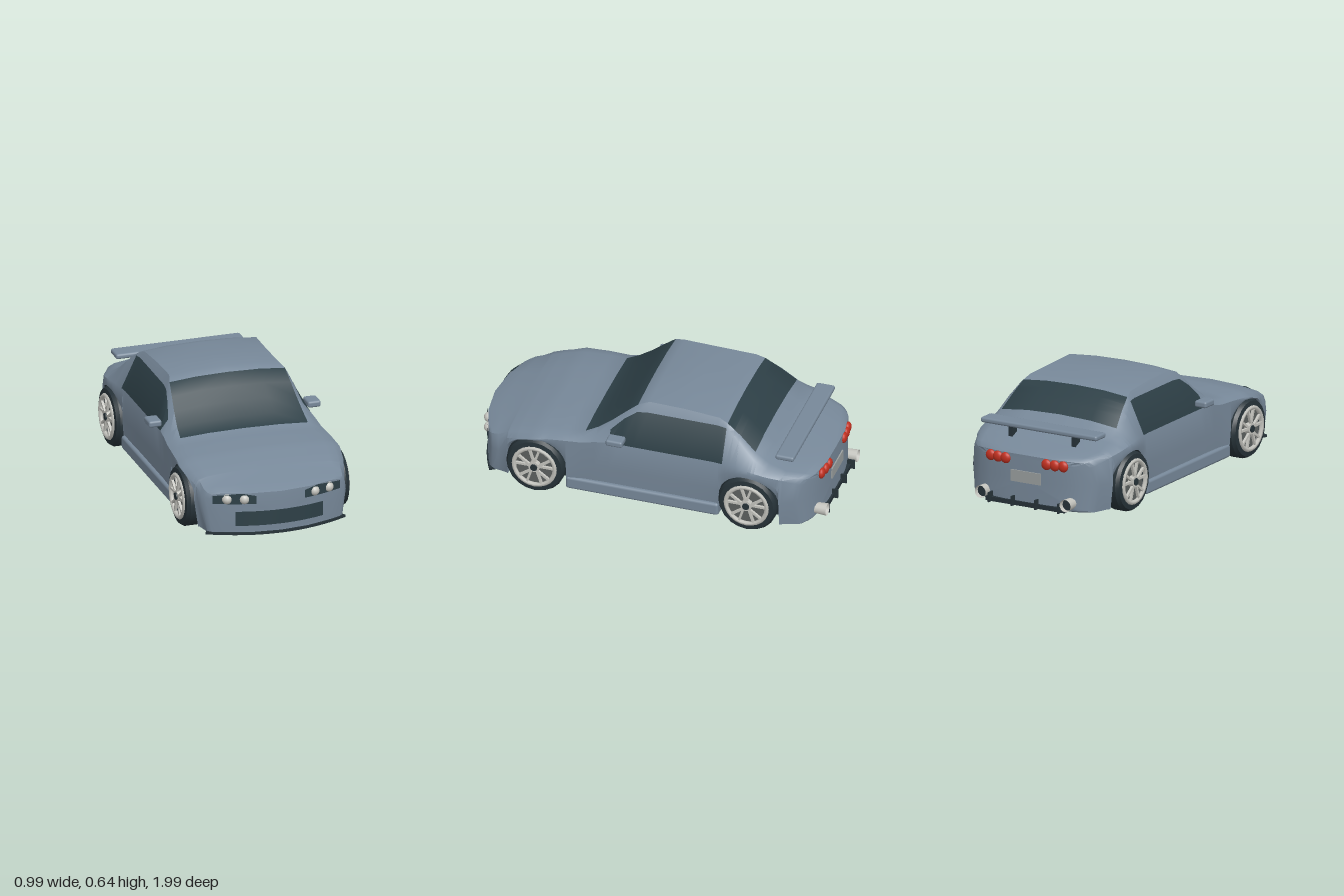
import * as THREE from 'three';
import { toCreasedNormals } from 'three/addons/utils/BufferGeometryUtils.js';
import { RoundedBoxGeometry } from 'three/addons/geometries/RoundedBoxGeometry.js';

const mat = (name, color, side = THREE.FrontSide) => {
  const m = new THREE.MeshStandardMaterial({ color, side });
  m.name = name;
  return m;
};
const clamp = THREE.MathUtils.clamp;

// Half cross-sections along the car:
// z, top y, roof edge x y, gutter x y, belt x y, mid x, low x
const KEYS = [
  [-0.955, 0.345, 0.31, 0.34, 0.36, 0.335, 0.385, 0.31, 0.395, 0.375],
  [-0.93, 0.36, 0.33, 0.352, 0.37, 0.345, 0.395, 0.32, 0.405, 0.385],
  [-0.80, 0.375, 0.36, 0.368, 0.40, 0.36, 0.42, 0.34, 0.43, 0.41],
  [-0.70, 0.42, 0.365, 0.405, 0.415, 0.39, 0.45, 0.365, 0.455, 0.45],
  [-0.62, 0.485, 0.365, 0.46, 0.40, 0.43, 0.455, 0.38, 0.46, 0.46],
  [-0.53, 0.56, 0.345, 0.535, 0.375, 0.51, 0.445, 0.39, 0.455, 0.45],
  [-0.45, 0.61, 0.33, 0.59, 0.35, 0.57, 0.435, 0.39, 0.44, 0.43],
  [-0.40, 0.622, 0.32, 0.61, 0.345, 0.575, 0.43, 0.39, 0.435, 0.42],
  [-0.20, 0.632, 0.312, 0.62, 0.345, 0.575, 0.43, 0.39, 0.43, 0.42],
  [0.00, 0.64, 0.312, 0.625, 0.345, 0.575, 0.43, 0.39, 0.43, 0.42],
  [0.06, 0.625, 0.33, 0.607, 0.35, 0.57, 0.43, 0.39, 0.43, 0.42],
  [0.13, 0.57, 0.34, 0.55, 0.365, 0.52, 0.43, 0.39, 0.43, 0.42],
  [0.20, 0.51, 0.35, 0.49, 0.385, 0.45, 0.43, 0.39, 0.43, 0.42],
  [0.28, 0.45, 0.36, 0.432, 0.40, 0.40, 0.435, 0.38, 0.435, 0.42],
  [0.35, 0.408, 0.365, 0.395, 0.41, 0.385, 0.44, 0.365, 0.44, 0.42],
];
// Bonnet and nose sections
KEYS.push(
  [0.48, 0.40, 0.37, 0.388, 0.42, 0.375, 0.45, 0.36, 0.45, 0.44],
  [0.61, 0.39, 0.37, 0.378, 0.42, 0.367, 0.455, 0.35, 0.46, 0.46],
  [0.72, 0.365, 0.36, 0.352, 0.41, 0.34, 0.44, 0.318, 0.445, 0.435],
  [0.80, 0.342, 0.35, 0.328, 0.40, 0.315, 0.42, 0.288, 0.425, 0.40],
  [0.90, 0.31, 0.34, 0.303, 0.395, 0.29, 0.41, 0.265, 0.42, 0.39],
  [0.97, 0.29, 0.335, 0.29, 0.385, 0.28, 0.40, 0.255, 0.41, 0.385],
);
const WHEEL_Z = [0.61, -0.6], WHEEL_Y = 0.17, ARCH = 0.172, FLOOR = 0.05;

// Rounds the nose and tail in plan
function bowZ(x, z) {
  if (z > 0) return z - 0.11 * clamp((z - 0.78) / 0.2, 0, 1) * (x / 0.41) ** 2;
  return z + 0.1 * clamp((-z - 0.78) / 0.185, 0, 1) * (x / 0.4) ** 4;
}

const inArch = (z) => WHEEL_Z.some((c) => Math.abs(z - c) < ARCH);

function section(z) {
  let k = 0;
  while (k < KEYS.length - 2 && KEYS[k + 1][0] < z) k++;
  const a = KEYS[k], b = KEYS[k + 1], t = clamp((z - a[0]) / (b[0] - a[0]), 0, 1);
  const [, top, ex, ey, gx, gy, bx, by, mx, lx] = a.map((v, i) => v + (b[i] - v) * t);
  let low = FLOOR;
  for (const c of WHEEL_Z) {
    const d = Math.abs(z - c);
    if (d < ARCH) low = WHEEL_Y + Math.sqrt(ARCH * ARCH - d * d);
  }
  low = Math.min(low, by - 0.012);
  return [[0, FLOOR], [0.17, FLOOR], [0.33, FLOOR], [0.33, low], [lx, low],
    [mx, Math.max(low + (by - low) * 0.5, 0.2)], [bx, by], [gx, gy], [ex, ey],
    [ex * 0.55, top - (top - ey) * 0.25], [0, top]];
}

// One lofted shell; windows and wheel wells are face groups
function bodyGeometry() {
  const zs = KEYS.map((k) => k[0]);
  for (const c of WHEEL_Z) {
    for (let i = 0; i <= 14; i++) zs.push(c + Math.cos((i * Math.PI) / 14) * (ARCH - 0.0005));
    zs.push(c - ARCH - 0.0005, c + ARCH + 0.0005);
  }
  zs.sort((a, b) => a - b);
  const rows = zs.map((z) => ({ z, p: section(z) }));
  const cap = (row, z, cy, s) => ({ z, p: row.p.map(([x, y]) => [x * s, cy + (y - cy) * s]) });
  const tail = rows[0], nose = rows[rows.length - 1], scales = [0, 0.3, 0.6, 0.8, 0.95];
  const all = [...scales.map((s) => cap(tail, -0.965, 0.2, s)), ...rows,
    ...scales.slice().reverse().map((s) => cap(nose, 0.985, 0.16, s))];
  const faces = [[], [], []];
  const point = (i, j, side) => {
    const [x, y] = all[i].p[j];
    return [x * side, y, bowZ(x, all[i].z)];
  };
  for (let i = 0; i < all.length - 1; i++) {
    const zm = (all[i].z + all[i + 1].z) / 2;
    for (let j = 0; j < all[i].p.length - 1; j++) {
      const screen = j >= 8 && ((zm > 0.06 && zm < 0.35) || (zm > -0.62 && zm < -0.45));
      const sideGlass = j === 6 && zm > -0.45 && zm < 0.2;
      const well = (j === 2 || j === 3) && inArch(zm);
      const out = faces[screen || sideGlass ? 1 : well ? 2 : 0];
      for (const s of [1, -1]) {
        const a = point(i, j, s), b = point(i, j + 1, s);
        const c = point(i + 1, j + 1, s), d = point(i + 1, j, s);
        out.push(...(s > 0 ? [a, b, d, b, c, d] : [a, d, b, b, d, c]).flat());
      }
    }
  }
  const g = new THREE.BufferGeometry();
  g.setAttribute('position', new THREE.Float32BufferAttribute(faces.flat(), 3));
  let start = 0;
  faces.forEach((f, i) => {
    g.addGroup(start, f.length / 3, i);
    start += f.length / 3;
  });
  return toCreasedNormals(g, 0.6);
}

// Thin panel hugging the nose between two height rules
function nosePlate(x0, x1, bottom, top) {
  const g = new THREE.PlaneGeometry(1, 1, 12, 1), p = g.attributes.position;
  for (let i = 0; i < p.count; i++) {
    const u = p.getX(i) + 0.5, x = x0 + (x1 - x0) * u;
    p.setXYZ(i, x, p.getY(i) > 0 ? top(u) : bottom(u), bowZ(x, 0.985) + 0.007);
  }
  g.computeVertexNormals();
  return g;
}

export function createModel() {
  const car = new THREE.Group();
  car.name = 'car';
  const paint = mat('bodyPaint', 0x778899), glass = mat('darkGlass', 0x2d3f46, THREE.DoubleSide);
  const rubber = mat('blackTrim', 0x263238), silver = mat('silver', 0xc4c4be, THREE.DoubleSide);
  const lamp = mat('lampLens', 0xc6c6c0), red = mat('tailRed', 0xc23020);
  const plateGrey = mat('plateGrey', 0x9a9f9f), brake = mat('brakeGrey', 0x5c605f);

  const add = (name, geometry, material, x = 0, y = 0, z = 0, parent = car) => {
    const m = new THREE.Mesh(geometry, material);
    m.name = name;
    m.position.set(x, y, z);
    parent.add(m);
    return m;
  };
  const box = (w, h, d) => new THREE.BoxGeometry(w, h, d);

  add('bodyShell', bodyGeometry(), [paint, glass, rubber]);

  // Nose: grille, splitter
  add('grille', nosePlate(-0.25, 0.25, () => 0.097, () => 0.18), glass);
  const lip = new THREE.Shape();
  for (let i = 0; i <= 16; i++) {
    const x = -0.4 + i * 0.05;
    lip[i ? 'lineTo' : 'moveTo'](x, -bowZ(x, 0.985) - 0.008);
  }
  lip.lineTo(0.37, -0.84);
  lip.lineTo(-0.37, -0.84);
  add('frontSplitter', new THREE.ExtrudeGeometry(lip, { depth: 0.014, bevelEnabled: false })
    .rotateX(-Math.PI / 2), rubber, 0, 0.043, 0);

  // Wheel parts, with the outer face along +x
  const tyre = new THREE.LatheGeometry([[0.1, -0.06], [0.152, -0.06], [0.167, -0.035], [0.167, 0.035],
    [0.155, 0.055], [0.128, 0.058], [0.118, 0.03]].map((p) => new THREE.Vector2(...p)), 20);
  const tyreGeo = toCreasedNormals(tyre.rotateZ(-Math.PI / 2), 0.5);
  const disc = (r, h, n = 20) => new THREE.CylinderGeometry(r, r, h, n).rotateZ(-Math.PI / 2);
  const makeWheel = (name, side, z) => {
    const w = new THREE.Group();
    w.name = name;
    w.position.set(side * 0.41, WHEEL_Y, z);
    if (side < 0) w.rotation.y = Math.PI;
    car.add(w);
    add('tyre', tyreGeo, rubber, 0, 0, 0, w);
    add('brakeDisc', disc(0.12, 0.08), brake, -0.005, 0, 0, w);
    add('rim', new THREE.TorusGeometry(0.117, 0.013, 6, 24).rotateY(Math.PI / 2), silver, 0.056, 0, 0, w);
    add('hub', disc(0.032, 0.03, 10), silver, 0.05, 0, 0, w);
    add('hubCap', disc(0.02, 0.01, 10), rubber, 0.067, 0, 0, w);
    for (let i = 0; i < 5; i++) for (const s of [-1, 1]) {
      const spoke = add('spoke', box(0.014, 0.1, 0.013), silver, 0.057, 0, 0, w);
      const a = (i * Math.PI * 2) / 5, b = a + s * 0.2;
      spoke.position.y = 0.066 * Math.cos(b);
      spoke.position.z = 0.066 * Math.sin(b);
      spoke.rotation.x = a + s * 0.32;
    }
  };

  for (const s of [1, -1]) {
    const label = s > 0 ? 'left' : 'right';
    makeWheel(label + 'FrontWheel', s, WHEEL_Z[0]);
    makeWheel(label + 'RearWheel', s, WHEEL_Z[1]);
    add(label + 'SideSkirt', new RoundedBoxGeometry(0.06, 0.075, 0.87, 2, 0.015), paint, s * 0.415, 0.086, 0.005);
    add(label + 'Mirror', new RoundedBoxGeometry(0.075, 0.037, 0.095, 2, 0.012), paint, s * 0.455, 0.428, 0.15);

    // Headlamp panel with two round lenses
    const [x0, x1] = s > 0 ? [0.14, 0.365] : [-0.365, -0.14];
    const u = (t) => (s > 0 ? t : 1 - t);
    add(label + 'HeadlampPanel', nosePlate(x0, x1, () => 0.224,
      (t) => (u(t) < 0.35 ? 0.27 + 0.045 * u(t) : 0.286 - 0.025 * (u(t) - 0.35))), glass);
    for (const x of [0.2, 0.29])
      add(label + 'Headlamp', new THREE.SphereGeometry(0.029, 14, 10), lamp, s * x, 0.25, bowZ(x, 0.985) - 0.005);

    // Tail: lamps, exhaust, spoiler strut, diffuser fins
    for (const x of [0.13, 0.18, 0.23])
      add(label + 'TailLamp', new THREE.SphereGeometry(0.031, 14, 10).scale(1, 1, 0.6), red,
        s * x, 0.305, bowZ(x, -0.965));
    add(label + 'Exhaust', new THREE.CylinderGeometry(0.035, 0.03, 0.09, 14, 1, true).rotateX(-Math.PI / 2),
      silver, s * 0.27, 0.1, -0.955);
    add(label + 'ExhaustCore', new THREE.CircleGeometry(0.031, 14).rotateY(Math.PI), rubber, s * 0.27, 0.1, -0.975);
    add(label + 'SpoilerStrut', box(0.025, 0.08, 0.045), rubber, s * 0.2, 0.41, -0.775);
    for (const x of [0.075, 0.22])
      add(label + 'DiffuserFin', box(0.008, 0.055, 0.05), rubber, s * x, 0.075, -0.972);
  }
  add('diffuserBar', box(0.5, 0.025, 0.04), rubber, 0, 0.062, -0.955);
  add('rearPlate', box(0.19, 0.065, 0.008), plateGrey, 0, 0.215, -0.968);
  add('spoilerWing', new RoundedBoxGeometry(0.74, 0.03, 0.105, 2, 0.012), paint, 0, 0.452, -0.785);
  return car;
}
